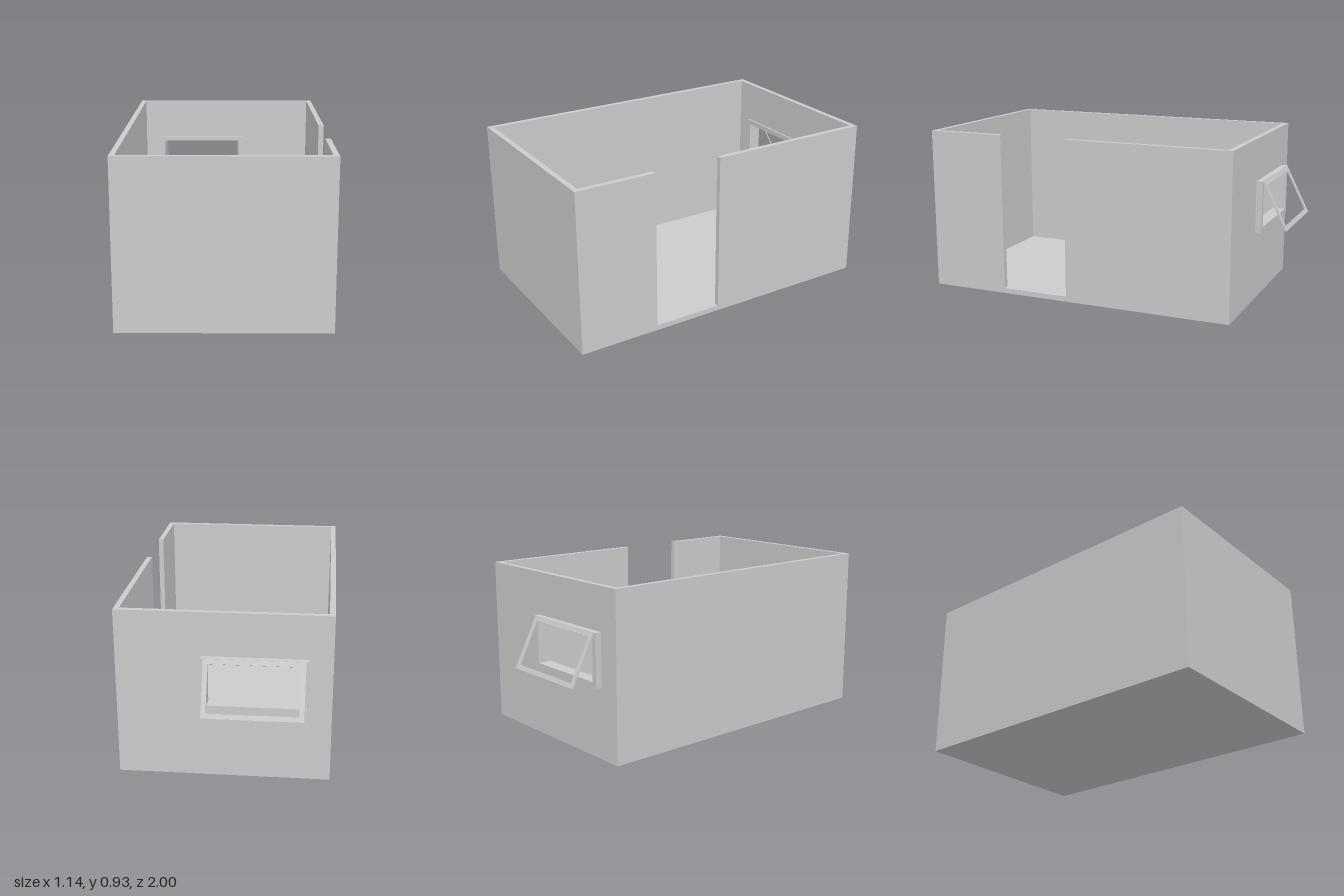
import * as THREE from 'three';

const material = new THREE.MeshStandardMaterial({ color: 0xcccccc, flatShading: true });

const T = 0.03;                        // wall and floor thickness
const X = 0.57, H = 0.93;              // half width, height
const BACK = -0.825, FRONT = 1.0;      // outer wall faces in z

function polygon(points, Type = THREE.Shape) {
  return new Type(points.map(([x, y]) => new THREE.Vector2(x, y)));
}

function rect(x0, y0, x1, y1, Type) {
  return polygon([[x0, y0], [x1, y0], [x1, y1], [x0, y1]], Type);
}

// Rectangle with an optional rectangular opening
function panel(outer, opening) {
  const shape = rect(...outer);
  if (opening) shape.holes.push(rect(...opening, THREE.Path));
  return shape;
}

function add(parent, name, geometry, x = 0, y = 0, z = 0) {
  const mesh = new THREE.Mesh(geometry, material);
  mesh.name = name;
  mesh.position.set(x, y, z);
  parent.add(mesh);
  return mesh;
}

function slab(shape, depth) {
  return new THREE.ExtrudeGeometry(shape, { depth, bevelEnabled: false });
}

export function createModel() {
  const model = new THREE.Group();
  model.name = 'room';

  const innerLength = FRONT - BACK - 2 * T;
  const midZ = (FRONT + BACK) / 2;

  // Floor, right-hand and front walls
  add(model, 'floor', new THREE.BoxGeometry(2 * (X - T), T, innerLength), 0, T / 2, midZ);
  add(model, 'frontWall', new THREE.BoxGeometry(2 * X, H, T), 0, H / 2, FRONT - T / 2);
  add(model, 'rightWall', new THREE.BoxGeometry(T, H, innerLength), -X + T / 2, H / 2, midZ);

  // Left wall with a full-height doorway above a low sill, drawn in (-z, y)
  const z0 = -(FRONT - T), z1 = -(BACK + T);
  const doorWall = polygon([
    [z0, 0], [z1, 0], [z1, H], [-0.14, H], [-0.14, T], [-0.54, T], [-0.54, H], [z0, H],
  ]);
  add(model, 'doorwayWall', slab(doorWall, T), X - T, 0, 0).rotation.y = Math.PI / 2;

  // Back wall with the window opening
  const frame = [-0.445, 0.395, 0.115, 0.69];
  add(model, 'backWall', slab(panel([-X, 0, X, H], frame), T), 0, 0, BACK);

  // Window frame standing proud of both faces of the wall
  const b = 0.03;
  const glassOpening = [frame[0] + b, frame[1] + b, frame[2] - b, frame[3] - b];
  add(model, 'windowFrame', slab(panel(frame, glassOpening), 0.075), 0, 0, -0.86);

  // Thin open sash hinged along the top of the frame and swung outwards
  const w = 0.265, len = 0.305, s = 0.026;
  const sash = panel([-w, -len, w, 0], [-w + s, -len + s, w - s, -s]);
  add(model, 'windowSash', slab(sash, 0.008), -0.165, 0.69, -0.863).rotation.x = 0.47;

  return model;
}
